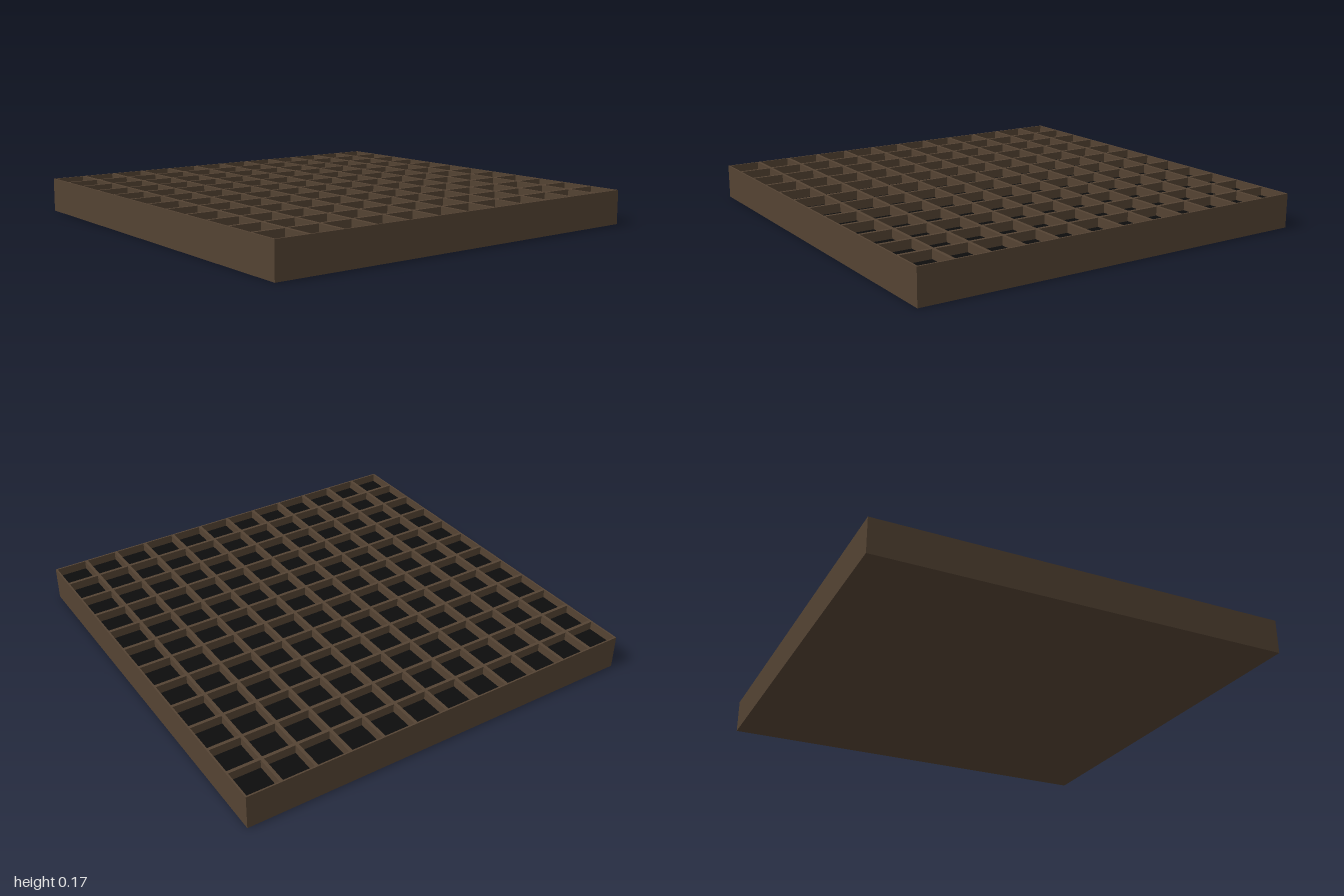
import * as THREE from 'three';

const SIZE = 2, HEIGHT = 1 / 6, FLOOR = 0.125; // floor of the cells
const CELLS = 12, PITCH = SIZE / CELLS, WALL = 0.008; // each cell owns half of a shared wall

function rectangle(PathType, x0, y0, x1, y1) {
  return new PathType([
    new THREE.Vector2(x0, y0), new THREE.Vector2(x1, y0),
    new THREE.Vector2(x1, y1), new THREE.Vector2(x0, y1),
  ]);
}

export function createModel() {
  const group = new THREE.Group();
  const brown = new THREE.MeshStandardMaterial({ color: 0x544333 });
  const black = new THREE.MeshStandardMaterial({ color: 0x0d0d0d });

  // Solid base, its dark top forming the floor of every cell
  const base = new THREE.Mesh(
    new THREE.BoxGeometry(SIZE, FLOOR, SIZE),
    [brown, brown, black, brown, brown, brown]
  );
  base.name = 'base';
  base.position.y = FLOOR / 2;
  group.add(base);

  // Lattice of thin walls: one slab with a square hole per cell
  const slab = rectangle(THREE.Shape, -SIZE / 2, -SIZE / 2, SIZE / 2, SIZE / 2);
  for (let i = 0; i < CELLS; i++) {
    for (let j = 0; j < CELLS; j++) {
      const x = -SIZE / 2 + i * PITCH, y = -SIZE / 2 + j * PITCH;
      slab.holes.push(rectangle(THREE.Path, x + WALL, y + WALL, x + PITCH - WALL, y + PITCH - WALL));
    }
  }
  const geometry = new THREE.ExtrudeGeometry(slab, { depth: HEIGHT - FLOOR, bevelEnabled: false });
  geometry.rotateX(-Math.PI / 2);
  const lattice = new THREE.Mesh(geometry, brown);
  lattice.name = 'latticeWalls';
  lattice.position.y = FLOOR;
  group.add(lattice);

  return group;
}
